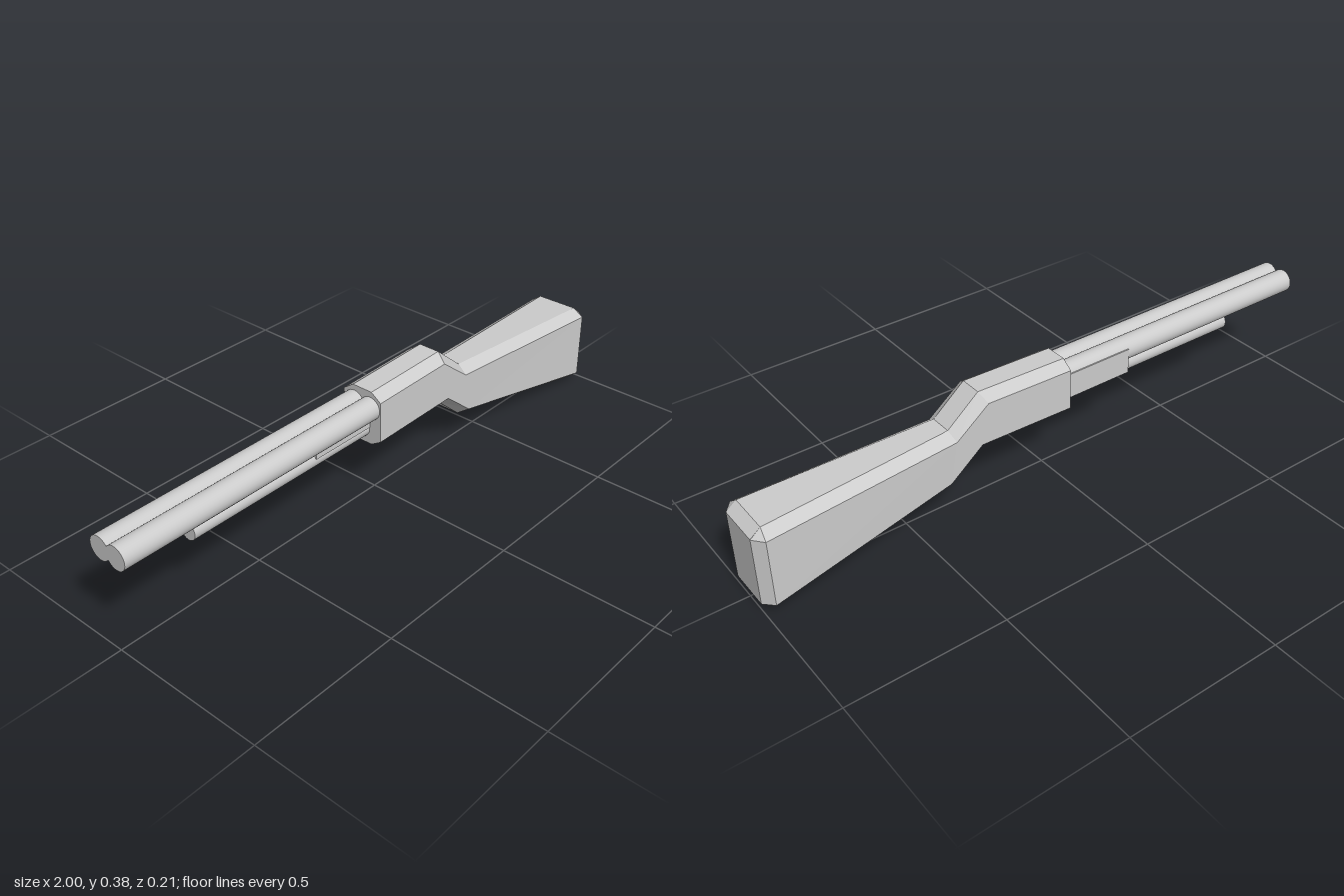
import * as THREE from 'three';

const material = new THREE.MeshStandardMaterial({ color: 0xcccccc });
const flatMaterial = new THREE.MeshStandardMaterial({ color: 0xcccccc, flatShading: true });

function addMesh(group, name, geometry, mat = material) {
  const mesh = new THREE.Mesh(geometry, mat);
  mesh.name = name;
  group.add(mesh);
  return mesh;
}

// Round bar lying along x
function addBar(group, name, x0, x1, y, z, radius) {
  const bar = addMesh(group, name, new THREE.CylinderGeometry(radius, radius, x1 - x0, 32));
  bar.rotation.z = Math.PI / 2;
  bar.position.set((x0 + x1) / 2, y, z);
}

// Closed loft through eight-sided sections.
// Each section: four [x, y] points down the side (top, upper bevel, lower bevel, bottom),
// then the half width of the flat top and bottom, and the half width of the sides.
function bevelledLoft(sections) {
  const points = [];
  const index = [];
  for (const { side, inner, outer } of sections) {
    const widths = [inner, outer, outer, inner];
    for (let k = 0; k < 8; k++) {
      const s = k < 4 ? k : 7 - k;
      points.push(side[s][0], side[s][1], k < 4 ? widths[s] : -widths[s]);
    }
  }
  for (let i = 0; i < sections.length - 1; i++) {
    for (let k = 0; k < 8; k++) {
      const a = i * 8 + k, b = i * 8 + (k + 1) % 8;
      index.push(a, b, a + 8, b, b + 8, a + 8);
    }
  }
  const last = (sections.length - 1) * 8;
  for (let k = 1; k < 7; k++) {
    index.push(0, k + 1, k, last, last + k, last + k + 1);
  }
  const geometry = new THREE.BufferGeometry();
  geometry.setAttribute('position', new THREE.Float32BufferAttribute(points, 3));
  geometry.setIndex(index);
  const flat = geometry.toNonIndexed();
  flat.computeVertexNormals();
  return flat;
}

export function createModel() {
  const model = new THREE.Group();
  model.name = 'longGun';

  // Receiver, wrist and butt in one bevelled body
  addMesh(model, 'stock', bevelledLoft([
    { side: [[-0.055, 0.378], [-0.055, 0.353], [-0.055, 0.219], [-0.055, 0.197]], inner: 0.036, outer: 0.072 },
    { side: [[0.255, 0.386], [0.243, 0.36], [0.268, 0.226], [0.26, 0.204]], inner: 0.036, outer: 0.072 },
    { side: [[0.362, 0.297], [0.355, 0.273], [0.38, 0.136], [0.366, 0.113]], inner: 0.036, outer: 0.072 },
    { side: [[0.967, 0.277], [0.972, 0.251], [0.972, 0.029], [0.967, 0.002]], inner: 0.07, outer: 0.105 },
    { side: [[1, 0.251], [1, 0.25], [1, 0.025], [1, 0.024]], inner: 0.07, outer: 0.0705 },
  ]), flatMaterial);

  // Side-by-side barrels
  addBar(model, 'leftBarrel', -1, 0, 0.322, 0.031, 0.0375);
  addBar(model, 'rightBarrel', -1, 0, 0.322, -0.031, 0.0375);

  // Tube below the barrels
  addBar(model, 'underTube', -0.745, 0, 0.246, 0, 0.029);

  // Block joining barrels and tube, flush with the rear side
  const block = addMesh(model, 'sideBlock', new THREE.BoxGeometry(0.285, 0.083, 0.1));
  block.position.set(-0.1425, 0.2965, -0.019);

  return model;
}
